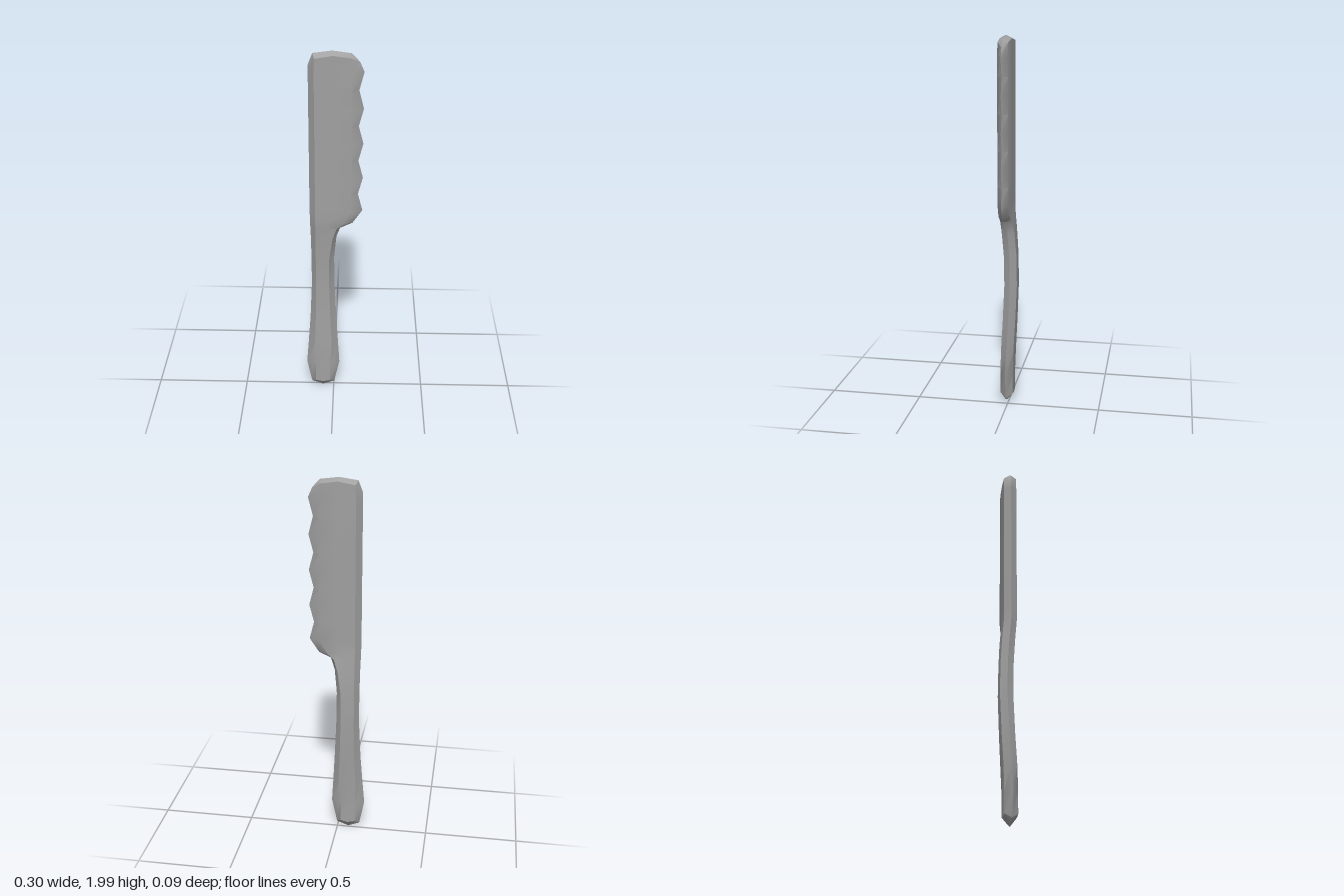
import * as THREE from 'three';
import { toCreasedNormals } from 'three/addons/utils/BufferGeometryUtils.js';

// One eight-point section: left ridge, front face, right ridge, back face.
// xL/xR are the outer ridges, xl/xr the face edges; h is half the thickness
// at the left and hr at the right; bump shifts the middle of the section in y.
function section({ y, yL = y, yR = y, yr = y, xL, xl, xr, xR, z = 0.009, h = 0.034, hr = h, bump = 0 }) {
  const xm = (xl + xr) / 2, ym = (y + yr) / 2 + bump, hm = (h + hr) / 2;
  return [
    [xL, yL, z], [xl, y, z + h], [xm, ym, z + hm], [xr, yr, z + hr],
    [xR, yR, z], [xr, yr, z - hr], [xm, ym, z - hm], [xl, y, z - h],
  ];
}

function loft(sections) {
  const n = sections[0].length, positions = sections.flat(2), index = [];
  for (let s = 0; s < sections.length - 1; s++) {
    for (let i = 0; i < n; i++) {
      const a = s * n + i, b = s * n + (i + 1) % n;
      index.push(a, b, b + n, a, b + n, a + n);
    }
  }
  const g = new THREE.BufferGeometry();
  g.setAttribute('position', new THREE.Float32BufferAttribute(positions, 3));
  g.setIndex(index);
  return toCreasedNormals(g, THREE.MathUtils.degToRad(38));
}

export function createModel() {
  const group = new THREE.Group();
  group.name = 'knife';
  const steel = new THREE.MeshStandardMaterial({ color: 0xa0a0a0 });
  steel.name = 'steel grey';

  // Handle: rounded butt, slim waist bowed towards the back
  const handle = [
    { y: 0.03, xL: -0.122, xl: -0.122, xr: 0.002, xR: 0.002, h: 0, bump: -0.024 },
    { y: 0.06, yL: 0.04, yR: 0.04, xL: -0.125, xl: -0.1, xr: -0.02, xR: 0.005, bump: -0.01 },
    { y: 0.17, xL: -0.15, xl: -0.1, xr: -0.02, xR: 0.032 },
    { y: 0.3, xL: -0.14, xl: -0.105, xr: -0.01, xR: 0.024, z: 0.005 },
    { y: 0.47, xL: -0.128, xl: -0.098, xr: -0.018, xR: 0.014, z: -0.004 },
    { y: 0.68, xL: -0.119, xl: -0.095, xr: -0.024, xR: 0.004, z: -0.012 },
    { y: 0.85, xL: -0.119, xl: -0.095, xr: -0.024, xR: 0.002, z: -0.009 },
    { y: 0.98, xL: -0.121, xl: -0.095, xr: -0.006, xR: 0.014, z: -0.001 },
    { y: 1.05, yr: 1.045, yR: 1.045, xL: -0.123, xl: -0.095, xr: 0.015, xR: 0.036, z: 0.005, hr: 0.032 },
    { y: 1.1, yr: 1.075, yR: 1.07, xL: -0.124, xl: -0.095, xr: 0.05, xR: 0.098, hr: 0.03 },
  ];

  // Blade: straight spine on the left, scalloped edge on the right
  const blade = [];
  const first = 1.145, last = 1.895, steps = 8;
  for (let i = 0; i <= steps; i++) {
    const y = first + (last - first) * i / steps;
    blade.push({ y, xL: -0.125, xl: -0.095, xr: 0.09, xR: i % 2 ? 0.124 : 0.148, hr: 0.028 });
  }

  // Tip: chamfered corners closing to a shallow curved ridge
  const tip = [
    { y: 1.97, yL: 1.93, yR: 1.945, xL: -0.124, xl: -0.092, xr: 0.085, xR: 0.126, hr: 0.027, bump: 0.014 },
    { y: 1.987, xL: -0.102, xl: -0.102, xr: 0.088, xR: 0.088, h: 0, bump: 0.013 },
  ];

  const body = new THREE.Mesh(loft([...handle, ...blade, ...tip].map(section)), steel);
  body.name = 'bladeAndHandle';
  group.add(body);
  return group;
}
